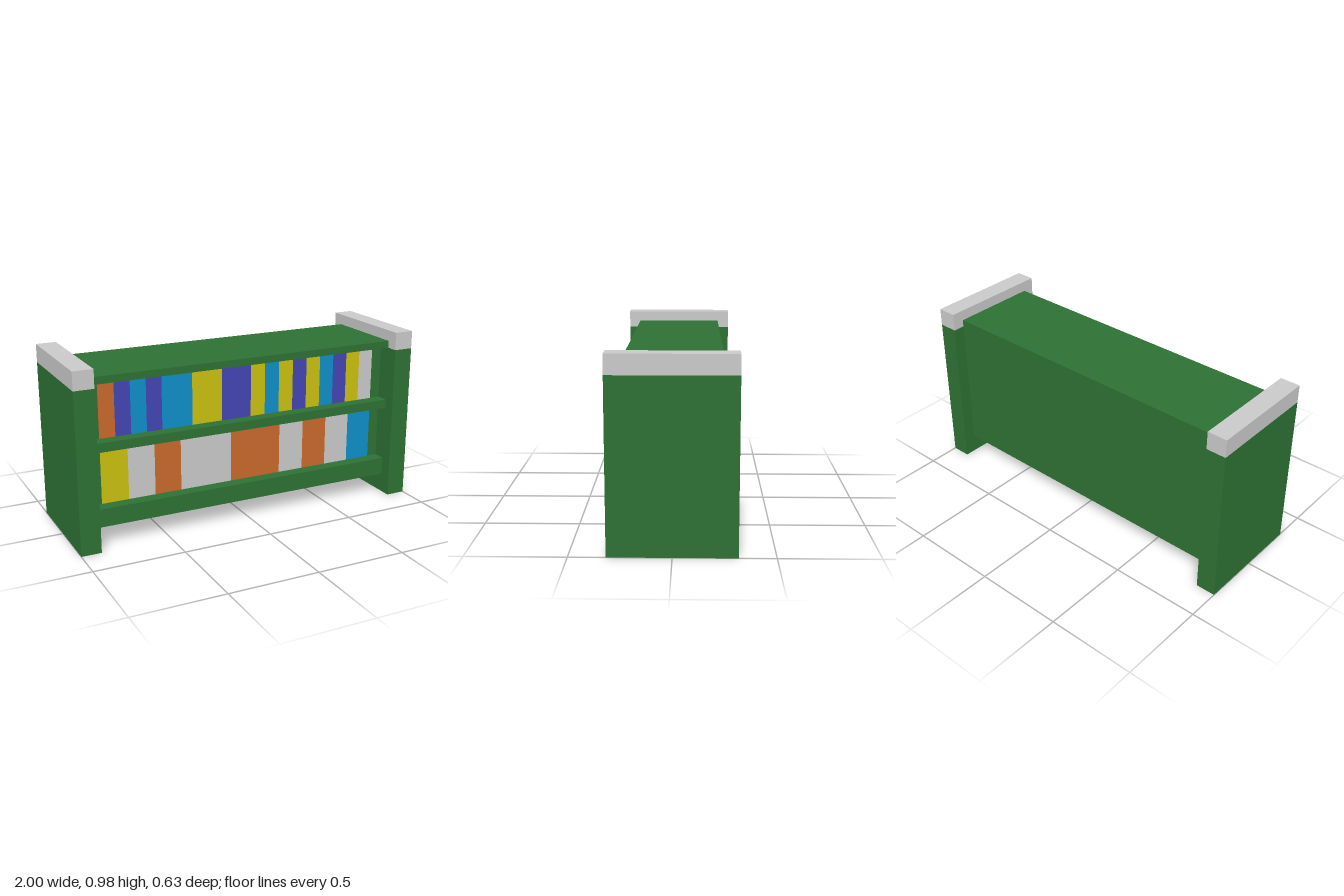
import * as THREE from 'three';

const mat = (name, color) => {
  const m = new THREE.MeshStandardMaterial({ color });
  m.name = name;
  return m;
};

export function createModel() {
  const green = mat('green', 0x2d7034);
  const grey = mat('lightGrey', 0xc9c9c9);
  const bookColours = {
    o: mat('orange', 0xc8692b),
    p: mat('violet', 0x4444b4),
    b: mat('blue', 0x0f90c9),
    y: mat('yellow', 0xc9c00f),
    g: grey,
  };
  const model = new THREE.Group();
  model.name = 'bookshelf';

  // Box given by its lower and upper limits on each axis
  const box = (name, material, [x0, x1], [y0, y1], [z0, z1], parent = model) => {
    const mesh = new THREE.Mesh(new THREE.BoxGeometry(x1 - x0, y1 - y0, z1 - z0), material);
    mesh.position.set((x0 + x1) / 2, (y0 + y1) / 2, (z0 + z1) / 2);
    mesh.name = name;
    parent.add(mesh);
  };

  const inner = 0.89, depth = 0.317, front = 0.25, recess = 0.18;

  // End panels with grey caps
  for (const [side, x] of [['right', [-1, -inner]], ['left', [inner, 1]]]) {
    box(side + 'EndPanel', green, x, [0, 0.88], [-depth, depth]);
    box(side + 'EndCap', grey, x, [0.88, 0.98], [-depth, depth]);
  }

  // Boards across the full depth
  const width = [-inner, inner];
  box('bottomBoard', green, width, [0.11, 0.21], [-front, front]);
  box('middleShelf', green, width, [0.52, 0.57], [-front, front]);
  box('topBoard', green, width, [0.88, 0.92], [-front, front]);

  // Rows of books: one letter per slot, repeated letters make a wide book
  const rows = [
    ['upper', [0.57, 0.88], ['o', 'p', 'b', 'p', 'bb', 'yy', 'pp', 'y', 'b', 'y', 'p', 'y', 'b', 'p', 'y', 'g']],
    ['lower', [0.21, 0.52], ['y', 'g', 'o', 'gg', 'oo', 'g', 'o', 'g', 'b']],
  ];
  const start = -0.832, end = 0.828;
  for (const [row, y, books] of rows) {
    box(row + 'Backing', green, width, y, [-front, recess - 0.003]);
    const group = new THREE.Group();
    group.name = row + 'Books';
    model.add(group);
    const slot = (end - start) / books.join('').length;
    let x = start;
    for (const book of books) {
      const next = x + slot * book.length;
      box('book', bookColours[book[0]], [x, next], y, [recess - 0.003, recess], group);
      x = next;
    }
  }
  return model;
}
